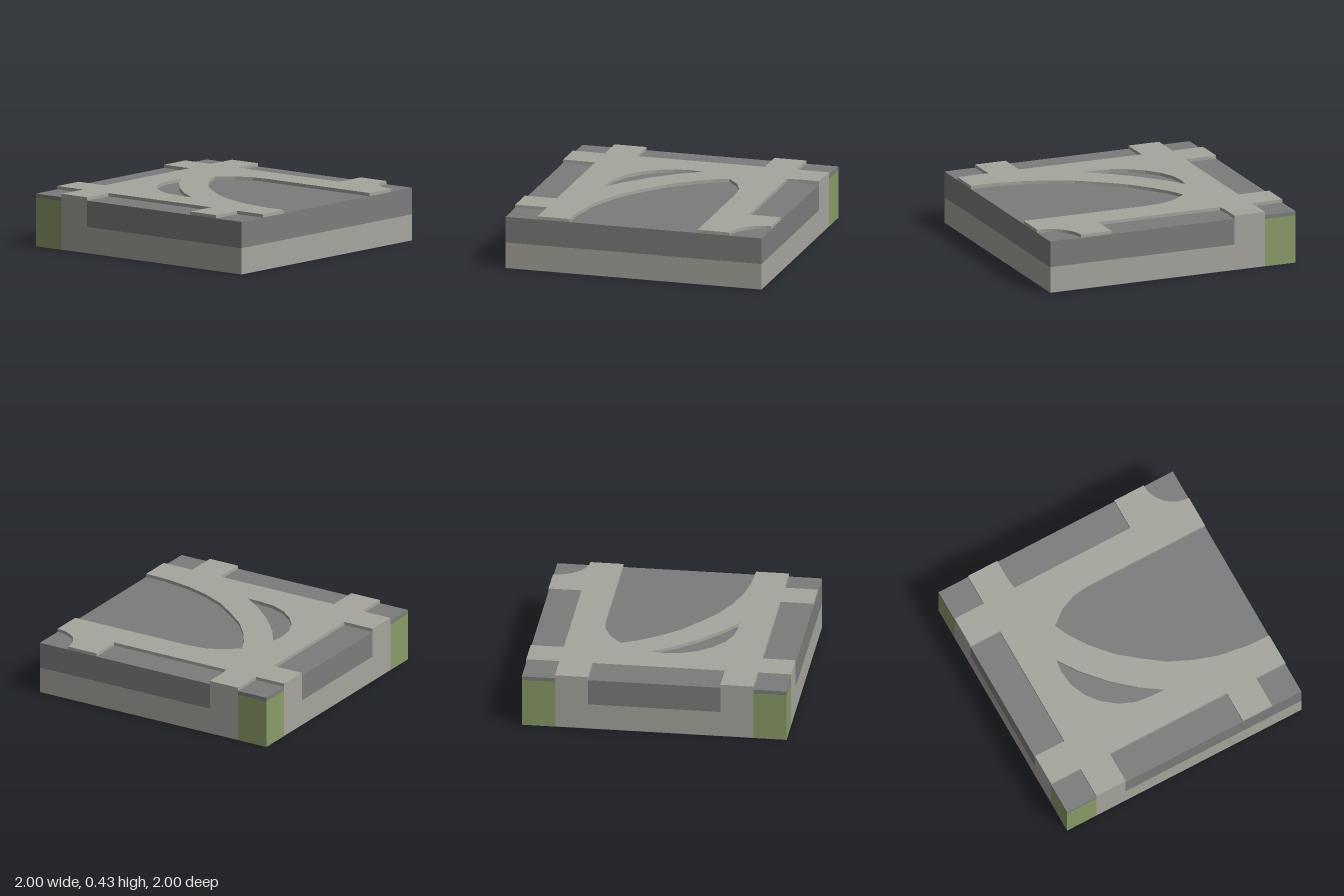
import * as THREE from 'three';

const mat = (color) => new THREE.MeshStandardMaterial({ color, flatShading: true });

export function createModel() {
  const group = new THREE.Group();
  const stone = mat(0xa6a59d), dark = mat(0x7c7c7c), green = mat(0x8a9b68);

  // Box given by its lower and upper corners
  const block = (name, material, [x0, y0, z0], [x1, y1, z1]) => {
    const mesh = new THREE.Mesh(new THREE.BoxGeometry(x1 - x0, y1 - y0, z1 - z0), material);
    mesh.position.set((x0 + x1) / 2, (y0 + y1) / 2, (z0 + z1) / 2);
    mesh.name = name;
    group.add(mesh);
  };

  // Slab: dark underside, stone lower course, dark upper course
  block('underside', dark, [-0.75, 0, -1], [1, 0.002, 1]);
  block('underside', dark, [-1, 0, -0.75], [-0.75, 0.002, 0.75]);
  block('lowerCourse', stone, [-0.75, 0.002, -1], [1, 0.2, 1]);
  block('lowerCourse', stone, [-1, 0.002, -0.75], [-0.75, 0.2, 0.75]);
  block('upperCourse', dark, [-0.5, 0.2, -1], [1, 0.4, 1]);
  block('upperCourse', dark, [-1, 0.2, -0.5], [-0.5, 0.4, 0.5]);

  // Two mirrored corners: green posts with dark caps, stone path ends beside them
  for (const s of [-1, 1]) {
    const range = (a, b) => (s > 0 ? [a, b] : [-b, -a]);
    const [c0, c1] = range(0.75, 1);
    const [p0, p1] = range(0.5, 0.75);
    block('cornerPost', green, [-1, 0, c0], [-0.75, 0.37, c1]);
    block('cornerCap', dark, [-1, 0.37, c0], [-0.75, 0.4, c1]);
    block('pathEnd', stone, [-0.75, 0.2, c0], [-0.5, 0.4, c1]);
    block('pathEnd', stone, [-1, 0.2, p0], [-0.5, 0.4, p1]);
  }

  // Raised path outline in x, z, running round the notches
  const arc = [];
  for (let i = 0; i <= 10; i++) {
    const a = (i / 10) * Math.PI / 2;
    arc.push([1 - 0.25 * Math.cos(a), -1 + 0.25 * Math.sin(a)]);
  }
  const outline = [
    [-0.75, -1], [-0.5, -1], [-0.5, -0.83], [-0.49, -0.75], [0.5, -0.75], [0.5, -1],
    ...arc,
    [1, -0.5], [0, -0.5], [-0.13, -0.485], [-0.25, -0.435], [-0.37, -0.34], [-0.32, -0.23],
    [-0.22, -0.08], [-0.09, 0.07], [0.07, 0.2], [0.23, 0.315], [0.41, 0.4], [0.6, 0.46],
    [0.82, 0.495], [1, 0.5],
    [1, 0.75], [0.75, 0.75], [0.75, 1], [0.5, 1], [0.5, 0.75], [-0.5, 0.75], [-0.5, 1],
    [-0.75, 1], [-0.75, 0.75], [-1, 0.75], [-1, 0.5], [-0.75, 0.5], [-0.75, -0.5],
    [-1, -0.5], [-1, -0.75], [-0.75, -0.75],
  ];
  // Crescent opening between the curved path and the straight ones
  const crescent = [
    [-0.49, -0.09], [-0.505, 0], [-0.49, 0.13], [-0.44, 0.25], [-0.36, 0.35], [-0.25, 0.435],
    [-0.13, 0.485], [0, 0.5], [0.1, 0.5], [-0.06, 0.39], [-0.23, 0.24], [-0.39, 0.06],
  ];
  const points = (list) => list.map(([x, z]) => new THREE.Vector2(x, -z));
  const shape = new THREE.Shape(points(outline));
  shape.holes.push(new THREE.Path(points(crescent)));
  const geometry = new THREE.ExtrudeGeometry(shape, { depth: 0.025, bevelEnabled: false });
  geometry.rotateX(-Math.PI / 2).translate(0, 0.4, 0);
  const path = new THREE.Mesh(geometry, stone);
  path.name = 'raisedPath';
  group.add(path);

  return group;
}
